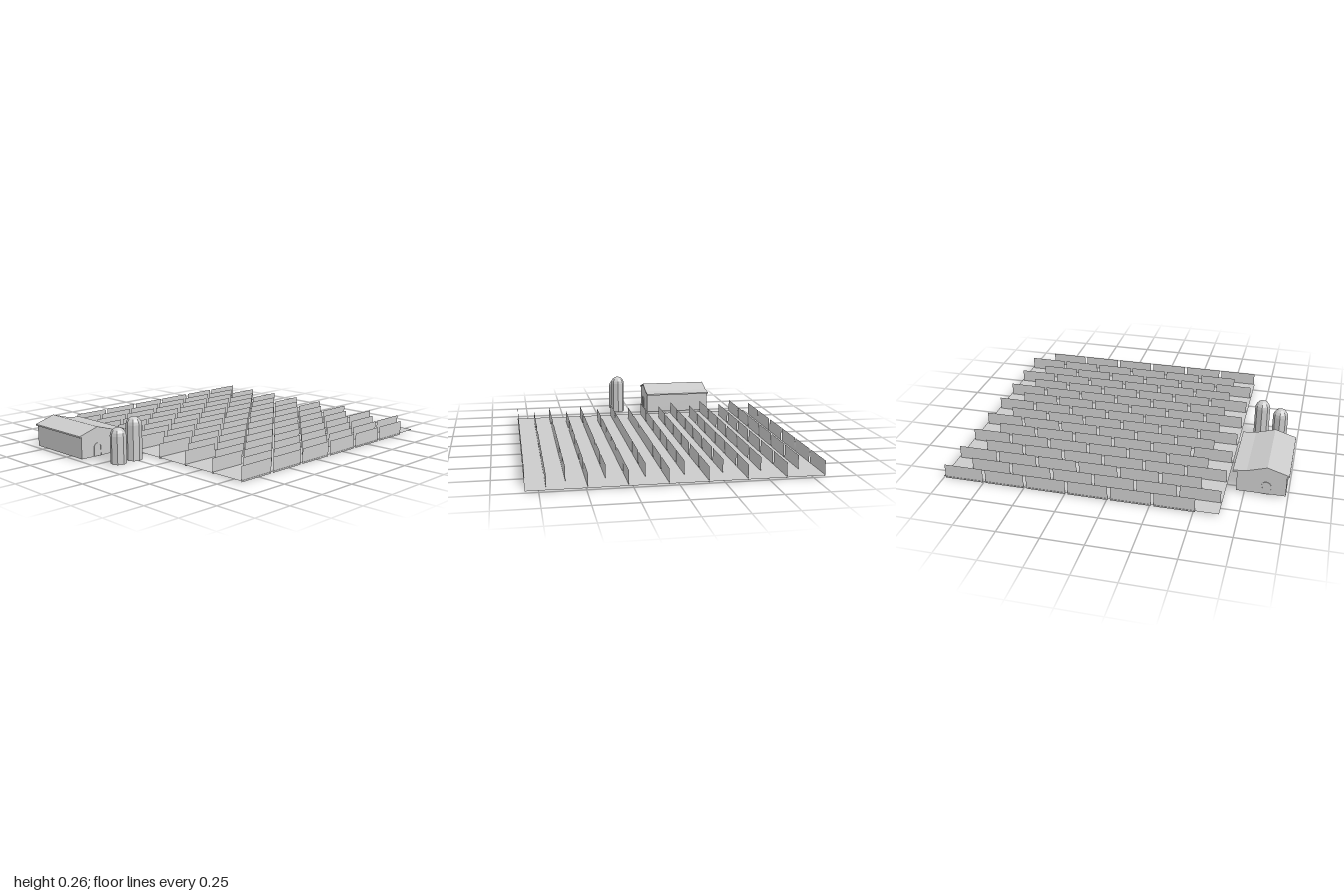
import * as THREE from 'three';

const grey = () => new THREE.MeshStandardMaterial({ color: 0xcccccc, flatShading: true, side: THREE.DoubleSide });

function add(parent, name, geometry, x = 0, y = 0, z = 0) {
  const mesh = new THREE.Mesh(geometry, grey());
  mesh.name = name;
  mesh.position.set(x, y, z);
  parent.add(mesh);
  return mesh;
}

// Outline in (z, y), extruded along x between x0 and x1
function extrudeAlongX(points, x0, x1) {
  const shape = new THREE.Shape(points.map(([z, y]) => new THREE.Vector2(-z, y)));
  const geo = new THREE.ExtrudeGeometry(shape, { depth: x1 - x0, bevelEnabled: false });
  return geo.rotateY(Math.PI / 2).translate(x0, 0, 0);
}

const GROUND = 0.01;

// Flat field with staggered rows of thin upright panels
function createField() {
  const field = new THREE.Group();
  field.name = 'field';
  add(field, 'fieldGround', new THREE.PlaneGeometry(1.645, 1.645).rotateX(-Math.PI / 2), 0, GROUND, -0.1775);

  const rows = 16, perRow = 6, pitch = 0.2525, length = 0.2365, height = 0.09;
  const panel = new THREE.PlaneGeometry(length, height).rotateY(Math.PI / 2);
  for (let r = 0; r < rows; r++) {
    const row = new THREE.Group();
    row.name = 'panelRow';
    const x = 0.82 - (r * 1.64) / (rows - 1);
    const start = r % 2 ? 0.51 : 0.638;
    for (let i = 0; i < perRow; i++) {
      add(row, 'panel', panel, x, height / 2, start - length / 2 - i * pitch);
    }
    field.add(row);
  }
  return field;
}

function createBarn() {
  const barn = new THREE.Group();
  barn.name = 'barn';
  const x0 = -0.56, x1 = -0.115, midX = (x0 + x1) / 2;
  const front = 0.987, back = 0.703;

  // Long walls
  for (const [name, z, top] of [['frontWall', front, 0.143], ['backWall', back, 0.136]]) {
    add(barn, name, new THREE.PlaneGeometry(x1 - x0, top - GROUND), midX, (top + GROUND) / 2, z)
      .rotation.y = z === back ? Math.PI : 0;
  }

  // Gable walls with arched doorway surrounds
  const gable = new THREE.Shape([[front, GROUND], [front, 0.143], [0.873, 0.177], [0.757, 0.142], [back, 0.136], [back, GROUND]]
    .map(([z, y]) => new THREE.Vector2(-z, y)));
  const arch = (r, h) => (path) => {
    path.moveTo(-r, 0);
    path.lineTo(-r, h);
    path.absarc(0, h, r, Math.PI, 0, true);
    path.lineTo(r, 0);
    path.closePath();
    return path;
  };
  const frameShape = arch(0.028, 0.052)(new THREE.Shape());
  frameShape.holes.push(arch(0.021, 0.052)(new THREE.Path()));
  const frame = new THREE.ExtrudeGeometry(frameShape, { depth: 0.008, bevelEnabled: false, curveSegments: 6 })
    .translate(0, 0, -0.004).rotateY(Math.PI / 2);
  for (const x of [x0, x1]) {
    add(barn, 'gableWall', new THREE.ShapeGeometry(gable).rotateY(Math.PI / 2), x);
    add(barn, 'doorFrame', frame, x, GROUND, 0.873);
  }

  // Roof slab: front slope, long back slope, shallow rear overhang
  const top = [[1.0, 0.147], [0.873, 0.186], [0.757, 0.151], [0.678, 0.144]];
  const under = top.map(([z, y]) => [z, y - 0.009]).reverse();
  add(barn, 'roof', extrudeAlongX([...top, ...under], x0 - 0.003, x1 + 0.003));
  return barn;
}

// Eight-sided silo with a domed cap, open at the bottom
function createSilo(height, z) {
  const r = 0.047;
  const profile = [new THREE.Vector2(r, GROUND)];
  for (let i = 0; i <= 4; i++) {
    const a = (i * Math.PI) / 8;
    profile.push(new THREE.Vector2(i === 4 ? 0 : r * Math.cos(a), height - r + r * Math.sin(a)));
  }
  const silo = new THREE.Group();
  silo.name = 'silo';
  add(silo, 'siloShell', new THREE.LatheGeometry(profile, 8), 0.095, 0, z);
  return silo;
}

export function createModel() {
  const model = new THREE.Group();
  model.name = 'farm';
  model.add(createField(), createBarn(), createSilo(0.265, 0.77), createSilo(0.22, 0.885));
  return model;
}
